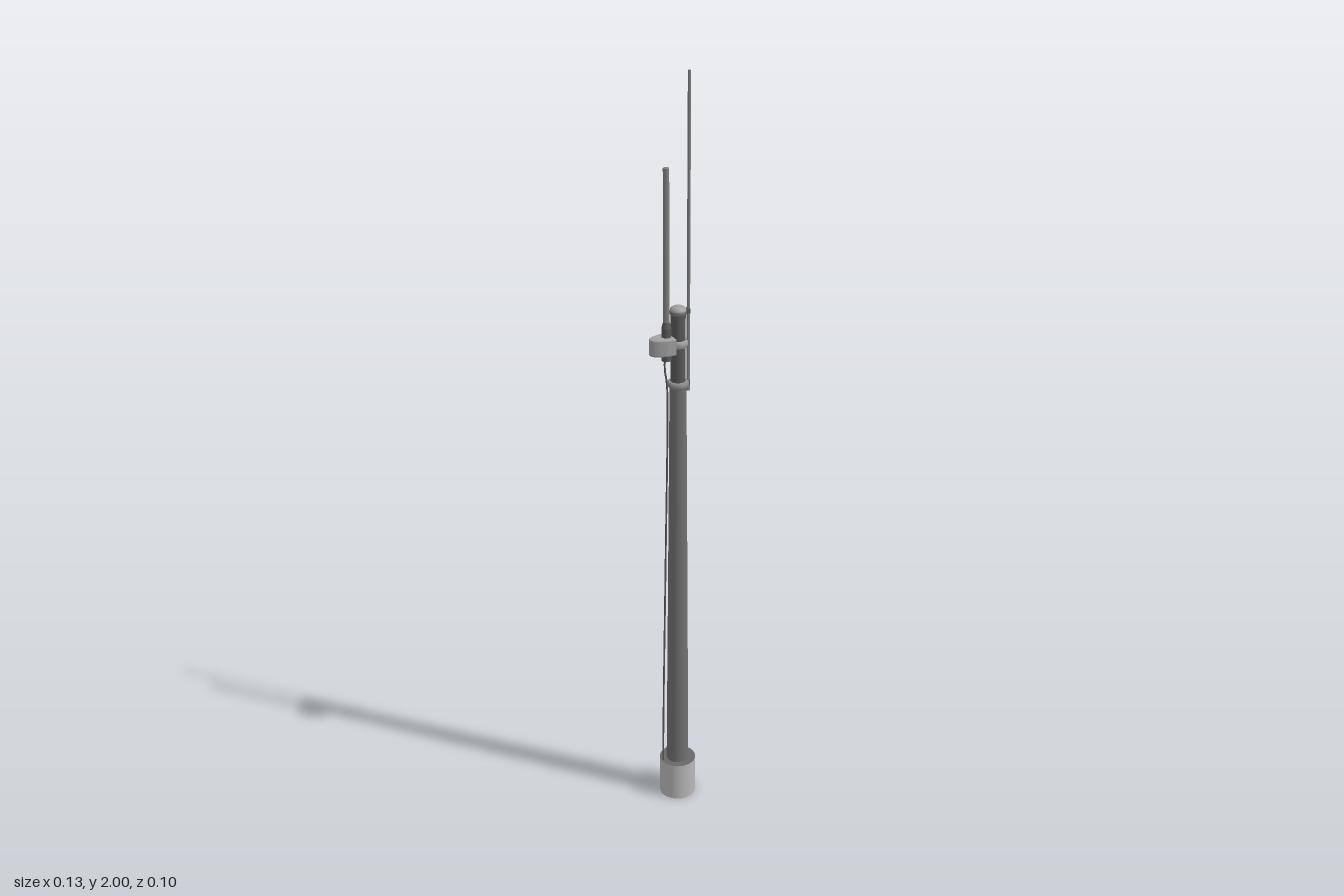
import * as THREE from 'three';

const AXIS = 0.0125; // x of the mast's centre line

const paint = color => new THREE.MeshStandardMaterial({ color });
const concrete = paint(0xb8b8b8);
const darkConcrete = paint(0x686868);
const mastMetal = paint(0x707070);
const darkMetal = paint(0x585858);
const bandMetal = paint(0x8a8a8a);
const casing = paint(0xa0a0a0);
const aerialGrey = paint(0x808080);

export function createModel() {
  const group = new THREE.Group();

  function add(name, material, geometry, x = 0, y = 0, z = 0) {
    const mesh = new THREE.Mesh(geometry, material);
    mesh.name = name;
    mesh.position.set(x, y, z);
    group.add(mesh);
  }
  // Upright cylinder between two heights
  function post(name, material, x, y0, y1, rBottom, rTop = rBottom, sides = 24) {
    add(name, material, new THREE.CylinderGeometry(rTop, rBottom, y1 - y0, sides), x, (y0 + y1) / 2);
  }
  // Rounded band around the mast
  function band(name, material, y0, y1, r) {
    const h = (y1 - y0) / 2;
    const profile = [[0.012, -h], [r - 0.004, -h], [r, -h * 0.5], [r, h * 0.5], [r - 0.004, h], [0.012, h]];
    add(name, material, new THREE.LatheGeometry(profile.map(p => new THREE.Vector2(...p)), 24), AXIS, (y0 + y1) / 2);
  }

  // Footing with a darker top face, and the tapered mast
  post('footing', [concrete, darkConcrete, concrete], AXIS, 0, 0.11, 0.049);
  post('lowerMast', mastMetal, AXIS, 0.11, 1.23, 0.03, 0.021);
  post('upperMast', darkMetal, AXIS, 1.23, 1.425, 0.0185);
  band('mastCollar', bandMetal, 1.224, 1.241, 0.027);
  band('housingClamp', casing, 1.33, 1.35, 0.024);
  band('topCollar', mastMetal, 1.412, 1.428, 0.0205);

  // Low domed mast cap
  const dome = [[0.02, 0], [0.019, 0.006], [0.013, 0.01], [0, 0.011]];
  add('mastCap', casing, new THREE.LatheGeometry(dome.map(p => new THREE.Vector2(...p)), 24), AXIS, 1.425);

  // Tapered equipment housing, drawn in plan and raised upright
  const plan = new THREE.Shape();
  plan.moveTo(-0.006, -0.022);
  plan.lineTo(-0.024, -0.022);
  plan.bezierCurveTo(-0.042, -0.019, -0.061, -0.011, -0.061, 0);
  plan.bezierCurveTo(-0.061, 0.011, -0.042, 0.019, -0.024, 0.022);
  plan.lineTo(-0.006, 0.022);
  plan.closePath();
  const housing = new THREE.ExtrudeGeometry(plan, {
    depth: 0.036, bevelEnabled: true, bevelThickness: 0.004, bevelSize: 0.003, bevelSegments: 2, curveSegments: 10,
  });
  housing.rotateX(-Math.PI / 2);
  add('equipmentHousing', casing, housing, 0, 1.322);

  // Thick aerial with its socket
  post('aerialSocket', darkMetal, -0.019, 1.30, 1.385, 0.012, 0.012, 16);
  post('aerialFerrule', darkMetal, -0.019, 1.385, 1.40, 0.012, 0.008, 16);
  post('thickAerial', aerialGrey, -0.019, 1.395, 1.78, 0.008, 0.0075, 12);

  // Thin whip on the opposite side, held by two clips
  post('whipAerial', aerialGrey, 0.04, 1.21, 2.0, 0.0045, 0.004, 8);
  for (const y of [1.232, 1.42]) {
    add('whipClip', darkMetal, new THREE.BoxGeometry(0.016, 0.012, 0.01), 0.035, y);
  }

  // Feeder cable from the socket down to the footing
  const route = [[-0.02, 1.31], [-0.024, 1.285], [-0.018, 1.24], [-0.016, 1.19], [-0.022, 0.75], [-0.029, 0.3], [-0.031, 0.1]]
    .map(([x, y]) => new THREE.Vector3(x, y, 0));
  add('feederCable', darkMetal, new THREE.TubeGeometry(new THREE.CatmullRomCurve3(route), 60, 0.0025, 8));

  return group;
}
